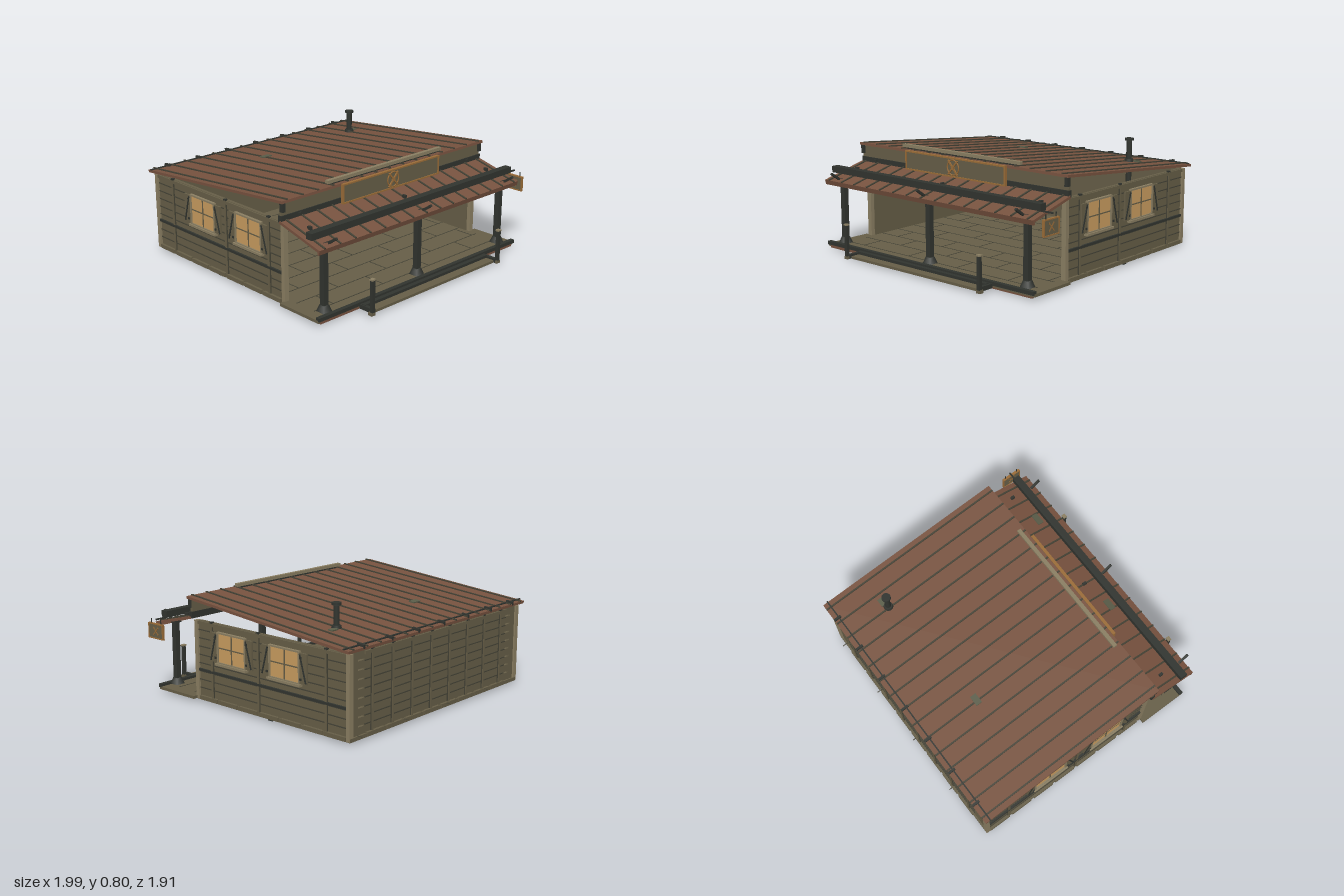
import * as THREE from 'three';

const mat = (name, color) => {
  const m = new THREE.MeshStandardMaterial({ color });
  m.name = name;
  return m;
};

export function createModel() {
  const M = {
    wall: mat('olive boards', 0x665e47),
    trim: mat('pale trim', 0x8a7e62),
    groove: mat('dark olive battens', 0x454336),
    dark: mat('charcoal iron', 0x31342f),
    roof: mat('rust roof', 0x77523f),
    glass: mat('warm window', 0xc99c5f),
    brass: mat('brass', 0x9a6c38),
    patch: mat('grey green patch', 0x5a5d49),
  };
  const root = new THREE.Group();
  const CX = -0.035; // centre line of the building
  const group = (name, parent = root) => {
    const g = new THREE.Group();
    g.name = name;
    parent.add(g);
    return g;
  };
  const add = (parent, name, geo, m, x, y, z) => {
    const o = new THREE.Mesh(geo, m);
    o.name = name;
    o.position.set(x, y, z);
    parent.add(o);
    return o;
  };
  const box = (p, name, m, w, h, d, x, y, z) => add(p, name, new THREE.BoxGeometry(w, h, d), m, x, y, z);
  const cyl = (p, name, m, r0, r1, h, x, y, z, n = 12) =>
    add(p, name, new THREE.CylinderGeometry(r0, r1, h, n), m, x, y, z);
  // Rectangular frame in the local xy plane
  const frame = (p, name, m, w, h, t, d, x, y, z) => {
    for (const s of [-1, 1]) {
      box(p, name, m, w, t, d, x, y + s * (h - t) / 2, z);
      box(p, name, m, t, h - 2 * t, d, x + s * (w - t) / 2, y, z);
    }
  };

  // Floor, deck and plank seams
  const floor = group('floor');
  box(floor, 'houseFloor', M.wall, 1.83, 0.025, 1.38, CX, 0.0275, -0.24);
  box(floor, 'porchDeck', M.wall, 1.91, 0.02, 0.36, CX, 0.03, 0.63);
  box(floor, 'deckEdge', M.dark, 1.91, 0.025, 0.03, CX, 0.045, 0.805);
  box(floor, 'deckSkirt', M.roof, 1.87, 0.025, 0.02, CX, 0.022, 0.8);
  box(floor, 'sillBeam', M.dark, 1.8, 0.015, 0.04, CX, 0.0075, -0.23);
  for (let i = 0; i < 10; i++) {
    const z = 0.69 - i * 0.165;
    box(floor, 'plankSeam', M.groove, 1.76, 0.002, 0.006, CX, 0.041, z);
    for (let j = 0; j < 4; j++)
      box(floor, 'plankJoint', M.groove, 0.006, 0.002, 0.165, -0.75 + j * 0.45 + (i % 2) * 0.2, 0.041, z - 0.0825);
  }

  // Front step with end posts
  const step = group('frontStep');
  box(step, 'stepTread', M.wall, 1.2, 0.018, 0.11, CX, 0.022, 0.87);
  box(step, 'stepRail', M.dark, 1.2, 0.02, 0.03, CX, 0.04, 0.845);
  for (const x of [-0.63, 0.57]) {
    const o = x < CX ? -0.018 : 0.012;
    box(step, 'stepStringer', M.dark, 0.025, 0.03, 0.12, x, 0.03, 0.875);
    box(step, 'stepPost', M.dark, 0.024, 0.23, 0.022, x + o, 0.137, 0.938);
    box(step, 'postCap', M.trim, 0.032, 0.01, 0.028, x + o, 0.252, 0.936);
    box(step, 'postFoot', M.wall, 0.034, 0.02, 0.034, x + o, 0.02, 0.933);
  }

  // Wall panel in local space: length along x, outside faces +z
  const wallPanel = (name, len, battens) => {
    const g = group(name);
    box(g, 'wallCore', M.wall, len, 0.53, 0.024, 0, 0.305, -0.012);
    for (let i = 0; i < 8; i++) box(g, 'boardSeam', M.groove, len, 0.007, 0.006, 0, 0.1 + i * 0.058, 0.002);
    for (const x of battens) {
      for (const s of [-1, 1]) box(g, 'battenShadow', M.groove, 0.004, 0.52, 0.008, x + s * 0.009, 0.305, 0.003);
      box(g, 'batten', M.wall, 0.015, 0.53, 0.014, x, 0.305, 0.005);
      box(g, 'battenCap', M.dark, 0.022, 0.012, 0.02, x, 0.572, 0.002);
    }
    box(g, 'topPlate', M.wall, len, 0.022, 0.014, 0, 0.556, 0.005);
    const n = Math.round(len / 0.2);
    for (let i = 0; i < n; i++)
      box(g, 'baseBoard', M.wall, len / n - 0.025, 0.028, 0.02, (i + 0.5) * len / n - len / 2, 0.032, 0.008);
    return g;
  };

  // Window with open shutters, facing +z
  const addWindow = (p, x) => {
    const g = group('window', p);
    g.position.set(x, 0.412, 0);
    box(g, 'pane', M.glass, 0.25, 0.2, 0.01, 0, 0, 0.006);
    frame(g, 'windowFrame', M.trim, 0.27, 0.218, 0.011, 0.02, 0, 0, 0.01);
    box(g, 'mullion', M.wall, 0.01, 0.2, 0.012, 0, 0, 0.008);
    box(g, 'glazingBar', M.wall, 0.25, 0.008, 0.012, 0, 0, 0.008);
    box(g, 'windowSill', M.trim, 0.29, 0.015, 0.032, 0, -0.113, 0.014);
    for (const s of [-1, 1]) {
      box(g, 'shutter', M.wall, 0.06, 0.2, 0.014, s * 0.167, 0, 0.012);
      const brace = box(g, 'shutterBrace', M.dark, 0.01, 0.19, 0.006, s * 0.167, 0, 0.021);
      brace.rotation.z = s * 0.27;
      for (const y of [-0.07, 0.07]) box(g, 'shutterHinge', M.dark, 0.014, 0.014, 0.008, s * 0.148, y, 0.021);
    }
  };

  // Side walls; local x runs along the depth of the house
  for (const s of [-1, 1]) {
    const w = wallPanel(s > 0 ? 'leftWall' : 'rightWall', 1.34, [-0.54, -0.1, 0.49].map(v => s * v));
    w.position.set(CX + s * 0.905, 0, -0.24);
    w.rotation.y = s * Math.PI / 2;
    box(w, 'waistRail', M.dark, 1.34, 0.016, 0.014, 0, 0.228, 0.007);
    for (const v of [-0.343, 0.142]) addWindow(w, s * v);
    for (const z of [0.445, -0.915])
      box(root, 'cornerPost', M.trim, 0.035, 0.55, 0.03, CX + s * 0.903, 0.295, z);
  }

  // Rear wall with slatted gaps near both ends
  const rear = wallPanel('rearWall', 1.54, [-0.7, -0.5, -0.3, -0.1, 0.1, 0.3, 0.5, 0.7]);
  rear.position.set(CX, 0, -0.918);
  rear.rotation.y = Math.PI;
  for (const s of [-1, 1]) {
    box(rear, 'endBoard', M.wall, 0.07, 0.53, 0.024, s * 0.865, 0.305, -0.012);
    for (let i = 0; i < 9; i++)
      box(rear, 'endSlat', M.wall, 0.065, 0.05, 0.024, s * 0.8, 0.066 + i * 0.06, -0.012);
  }

  // Sloping sheet from front edge (z0, y0) to rear edge (z1, y1), with standing seams
  const sheet = (name, z0, y0, z1, y1) => {
    const g = group(name);
    const len = Math.hypot(z0 - z1, y0 - y1);
    g.position.set(CX, (y0 + y1) / 2, (z0 + z1) / 2);
    g.rotation.x = -Math.atan2(y0 - y1, z0 - z1);
    box(g, 'roofSheet', M.roof, 1.91, 0.018, len, 0, 0, 0);
    for (let i = -7; i <= 7; i++) box(g, 'roofSeam', M.groove, 0.011, 0.01, len, i * 0.13, 0.012, 0);
    return g;
  };
  const roof = sheet('mainRoof', 0.49, 0.725, -0.95, 0.592);
  box(roof, 'rearStrap', M.dark, 1.92, 0.008, 0.01, 0, 0.014, -0.685);
  for (let i = -3; i <= 3; i++) box(roof, 'rearClip', M.dark, 0.016, 0.026, 0.055, i * 0.27, 0.012, -0.696);
  box(roof, 'roofPatch', M.patch, 0.075, 0.008, 0.045, -0.25, 0.015, -0.28);
  box(roof, 'roofPatch', M.patch, 0.06, 0.008, 0.035, 0.715, 0.015, -0.385);
  const porch = sheet('porchRoof', 0.825, 0.497, 0.46, 0.59);
  for (const x of [-0.225, 0.605]) box(porch, 'porchPatch', M.patch, 0.085, 0.008, 0.045, x, 0.015, 0.02);
  box(porch, 'eaveBoard', M.roof, 1.91, 0.03, 0.012, 0, -0.01, 0.182);

  // Porch beam, posts and roof brackets
  const frameG = group('porchFrame');
  box(frameG, 'porchBeam', M.dark, 1.91, 0.045, 0.052, CX, 0.573, 0.732);
  for (const x of [-0.88, CX, 0.81]) {
    box(frameG, 'porchPost', M.dark, 0.038, 0.47, 0.038, x, 0.285, 0.745);
    const foot = cyl(frameG, 'postFoot', M.dark, 0.03, 0.05, 0.045, x, 0.072, 0.745, 4);
    foot.rotation.y = Math.PI / 4;
    box(frameG, 'postHead', M.dark, 0.055, 0.025, 0.06, x, 0.508, 0.745);
    const b = box(frameG, 'eaveBracket', M.dark, 0.016, 0.016, 0.085, x, 0.542, 0.825);
    b.rotation.x = -0.6;
    box(frameG, 'beamStay', M.dark, 0.018, 0.03, 0.028, x, 0.565, 0.62);
  }

  // Front parapet with framed board and wheel ornament
  const par = group('parapet');
  box(par, 'parapetBoard', M.wall, 1.89, 0.13, 0.02, CX, 0.653, 0.458);
  box(par, 'parapetBand', M.dark, 1.9, 0.045, 0.03, CX, 0.608, 0.46);
  box(par, 'parapetCap', M.trim, 1.08, 0.022, 0.028, CX, 0.752, 0.445);
  box(par, 'capSupport', M.dark, 1.0, 0.05, 0.015, CX, 0.718, 0.445);
  for (const s of [-1, 1]) {
    box(par, 'parapetEnd', M.dark, 0.025, 0.06, 0.03, CX + s * 0.935, 0.685, 0.47);
    for (const k of [0.42, 0.8]) box(par, 'bandBolt', M.dark, 0.022, 0.022, 0.012, CX + s * k, 0.612, 0.48);
  }
  box(par, 'signPanel', M.wall, 0.9, 0.125, 0.025, CX, 0.665, 0.495);
  frame(par, 'signFrame', M.brass, 0.92, 0.135, 0.01, 0.022, CX, 0.665, 0.503);
  const wheel = group('wheelOrnament', par);
  wheel.position.set(CX, 0.665, 0.515);
  add(wheel, 'wheelRim', new THREE.TorusGeometry(0.052, 0.005, 6, 24), M.brass, 0, 0, 0);
  cyl(wheel, 'wheelHub', M.brass, 0.013, 0.013, 0.01, 0, 0, 0.003).rotation.x = Math.PI / 2;
  for (const s of [-1, 1]) {
    const bar = box(wheel, 'crossBar', M.brass, 0.011, 0.13, 0.008, 0, 0, 0.003);
    bar.rotation.z = s * 0.72;
  }

  // Hanging side board on an arm
  const hang = group('hangingBoard');
  box(hang, 'hangingArm', M.dark, 0.1, 0.01, 0.01, 0.945, 0.547, 0.732);
  box(hang, 'hangingPanel', M.wall, 0.01, 0.1, 0.145, 0.987, 0.463, 0.74);
  const hf = group('hangingFrame', hang);
  hf.position.set(0.987, 0.463, 0.74);
  hf.rotation.y = Math.PI / 2;
  frame(hf, 'hangingRim', M.brass, 0.15, 0.108, 0.008, 0.018, 0, 0, 0);
  for (const s of [-1, 1]) {
    box(hf, 'hanger', M.dark, 0.005, 0.035, 0.005, s * 0.05, 0.068, 0);
    box(hf, 'crossedBar', M.brass, 0.008, 0.075, 0.014, 0, 0, 0).rotation.z = s * 0.75;
  }

  // Stove and chimney
  const stove = group('stove');
  cyl(stove, 'stoveBody', M.dark, 0.048, 0.052, 0.12, 0.635, 0.135, -0.595, 16);
  cyl(stove, 'stoveTop', M.dark, 0.054, 0.054, 0.012, 0.635, 0.2, -0.595, 16);
  for (const x of [0.6, 0.67]) box(stove, 'stoveLeg', M.dark, 0.014, 0.045, 0.05, x, 0.06, -0.595);
  cyl(stove, 'chimneyPipe', M.dark, 0.02, 0.02, 0.58, 0.627, 0.49, -0.595, 16);
  cyl(stove, 'chimneyCollar', M.dark, 0.03, 0.034, 0.02, 0.627, 0.645, -0.595, 16);
  cyl(stove, 'chimneyCap', M.dark, 0.032, 0.032, 0.016, 0.627, 0.794, -0.595, 16);

  // Tool board on the rear wall
  const tools = group('toolBoard');
  box(tools, 'toolPanel', M.groove, 0.26, 0.165, 0.01, 0.546, 0.325, -0.885);
  box(tools, 'hammerHandle', M.dark, 0.009, 0.08, 0.008, 0.472, 0.315, -0.876);
  box(tools, 'hammerHead', M.dark, 0.05, 0.018, 0.01, 0.472, 0.36, -0.876);
  for (const s of [-1, 1])
    box(tools, 'tongArm', M.dark, 0.008, 0.09, 0.008, 0.555 + s * 0.008, 0.315, -0.876).rotation.z = s * 0.25;

  // Stool and low crate
  const stool = group('stool');
  for (const y of [0.085, 0.13, 0.18]) box(stool, 'stoolShelf', M.brass, 0.09, 0.012, 0.08, 0.455, y, -0.6);
  for (const sx of [-1, 1]) for (const sz of [-1, 1])
    box(stool, 'stoolLeg', M.dark, 0.012, 0.14, 0.012, 0.455 + sx * 0.032, 0.11, -0.6 + sz * 0.028);
  const crate = group('crate');
  for (const z of [-0.62, -0.76]) {
    frame(crate, 'crateFrame', M.groove, 0.18, 0.1, 0.01, 0.01, -0.75, 0.09, z);
    for (const x of [-0.8, -0.75, -0.7]) box(crate, 'crateSlat', M.groove, 0.008, 0.09, 0.008, x, 0.09, z);
  }
  box(crate, 'crateFill', M.wall, 0.17, 0.08, 0.13, -0.75, 0.08, -0.69);

  return root;
}
